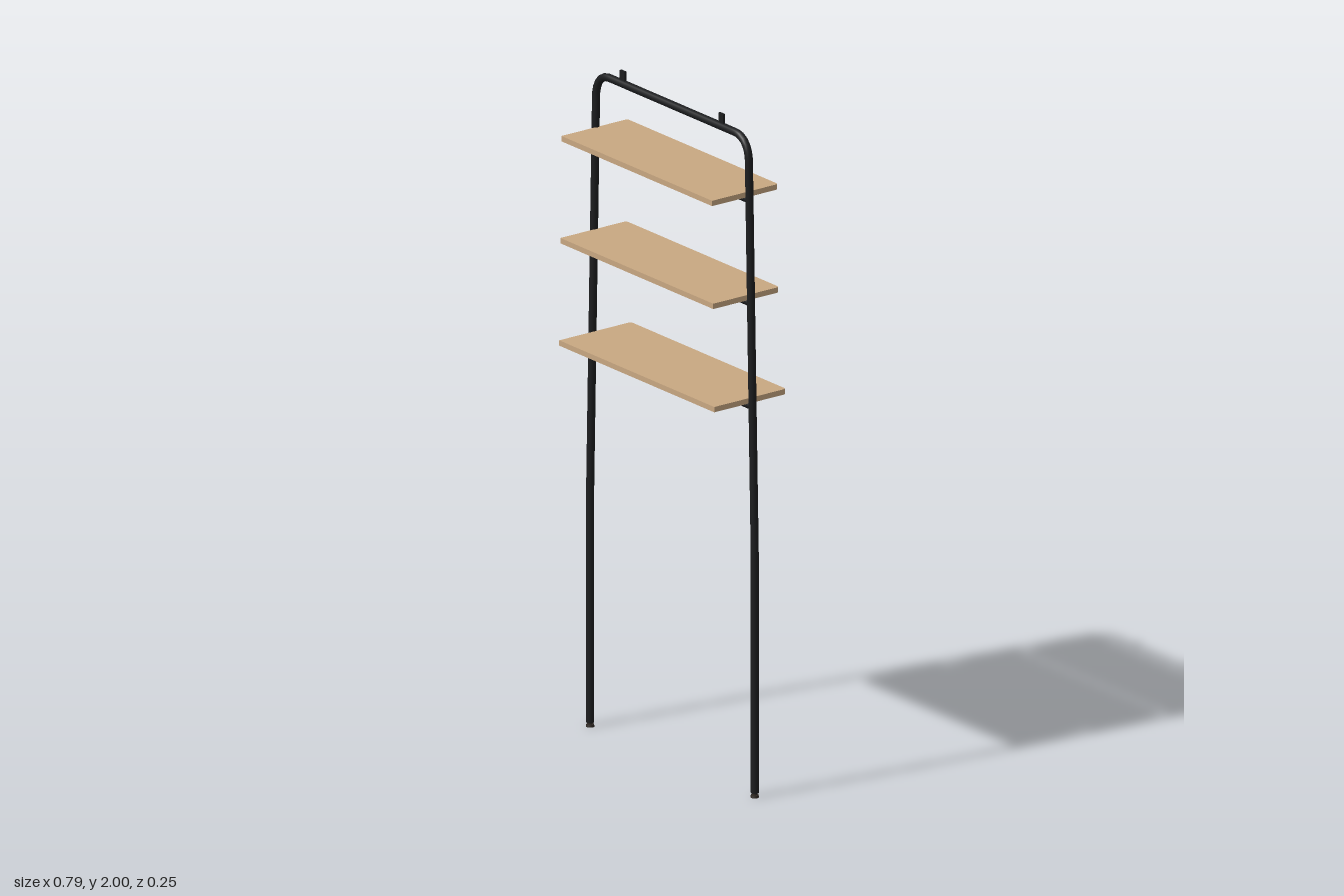
import * as THREE from 'three';

const black = new THREE.MeshStandardMaterial({ color: 0x1c1d1f });
black.name = 'black steel';
const wood = new THREE.MeshStandardMaterial({ color: 0xc9a882 });
wood.name = 'light wood';
const rubber = new THREE.MeshStandardMaterial({ color: 0x2e2823 });
rubber.name = 'dark rubber';

const TUBE = 0.0115;

function add(parent, name, geometry, material, x = 0, y = 0, z = 0) {
  const mesh = new THREE.Mesh(geometry, material);
  mesh.name = name;
  mesh.position.set(x, y, z);
  parent.add(mesh);
  return mesh;
}

// Half-width of the frame at a given height
const legX = (y) => 0.38 - 0.027 * Math.max(0, (y - 0.72) / 1.17);

// One bent tube: up the right leg, across the top, down the left leg
function frameGeometry() {
  const v = (x, y) => new THREE.Vector3(x, y, 0);
  const path = new THREE.CurvePath();
  const topY = 1.961, bendY = 1.89, bendX = 0.29, x = legX(bendY);
  path.add(new THREE.LineCurve3(v(-0.38, 0.014), v(-0.38, 0.72)));
  path.add(new THREE.LineCurve3(v(-0.38, 0.72), v(-x, bendY)));
  path.add(new THREE.CubicBezierCurve3(v(-x, bendY), v(-x + 0.001, 1.932), v(-0.33, topY), v(-bendX, topY)));
  path.add(new THREE.LineCurve3(v(-bendX, topY), v(bendX, topY)));
  path.add(new THREE.CubicBezierCurve3(v(bendX, topY), v(0.33, topY), v(x - 0.001, 1.932), v(x, bendY)));
  path.add(new THREE.LineCurve3(v(x, bendY), v(0.38, 0.72)));
  path.add(new THREE.LineCurve3(v(0.38, 0.72), v(0.38, 0.014)));
  return new THREE.TubeGeometry(path, 260, TUBE, 16, false);
}

// Flat board with rounded back corners, front edge at z = 0.127
function shelfGeometry(halfWidth, back, thickness) {
  const front = 0.127, r = 0.01, w = halfWidth;
  const s = new THREE.Shape();
  s.moveTo(-w, -front);
  s.lineTo(w, -front);
  s.lineTo(w, back - r);
  s.quadraticCurveTo(w, back, w - r, back);
  s.lineTo(-w + r, back);
  s.quadraticCurveTo(-w, back, -w, back - r);
  const g = new THREE.ExtrudeGeometry(s, { depth: thickness, bevelEnabled: false, curveSegments: 5 });
  return g.rotateX(-Math.PI / 2);
}

export function createModel() {
  const model = new THREE.Group();
  model.name = 'ladder shelf';

  add(model, 'frame', frameGeometry(), black);

  // Shelves, each resting on a cross bar between the legs
  const shelves = [
    { name: 'lowerShelf', y: 1.17, w: 0.358, back: 0.128 },
    { name: 'middleShelf', y: 1.477, w: 0.353, back: 0.108 },
    { name: 'upperShelf', y: 1.783, w: 0.348, back: 0.108 },
  ];
  for (const { name, y, w, back } of shelves) {
    add(model, name, shelfGeometry(w, back, 0.016), wood, 0, y, 0);
    const barY = y - 0.006;
    const bar = new THREE.CylinderGeometry(0.011, 0.011, 2 * legX(barY), 16).rotateZ(Math.PI / 2);
    add(model, name + 'Bar', bar, black, 0, barY, 0);
  }

  for (const side of [-1, 1]) {
    // Upright mounting tabs on the top rail
    add(model, 'mountingTab', new THREE.BoxGeometry(0.022, 0.04, 0.007), black, side * 0.228, 1.98, 0);
    // Levelling feet, with a cap closing the tube end
    add(model, 'legCap', new THREE.CylinderGeometry(TUBE, TUBE, 0.006, 16), black, side * 0.38, 0.016, 0);
    add(model, 'footStem', new THREE.CylinderGeometry(0.006, 0.006, 0.012, 12), rubber, side * 0.38, 0.009, 0);
    add(model, 'footPad', new THREE.CylinderGeometry(0.011, 0.0125, 0.007, 16), rubber, side * 0.38, 0.0035, 0);
  }
  return model;
}
